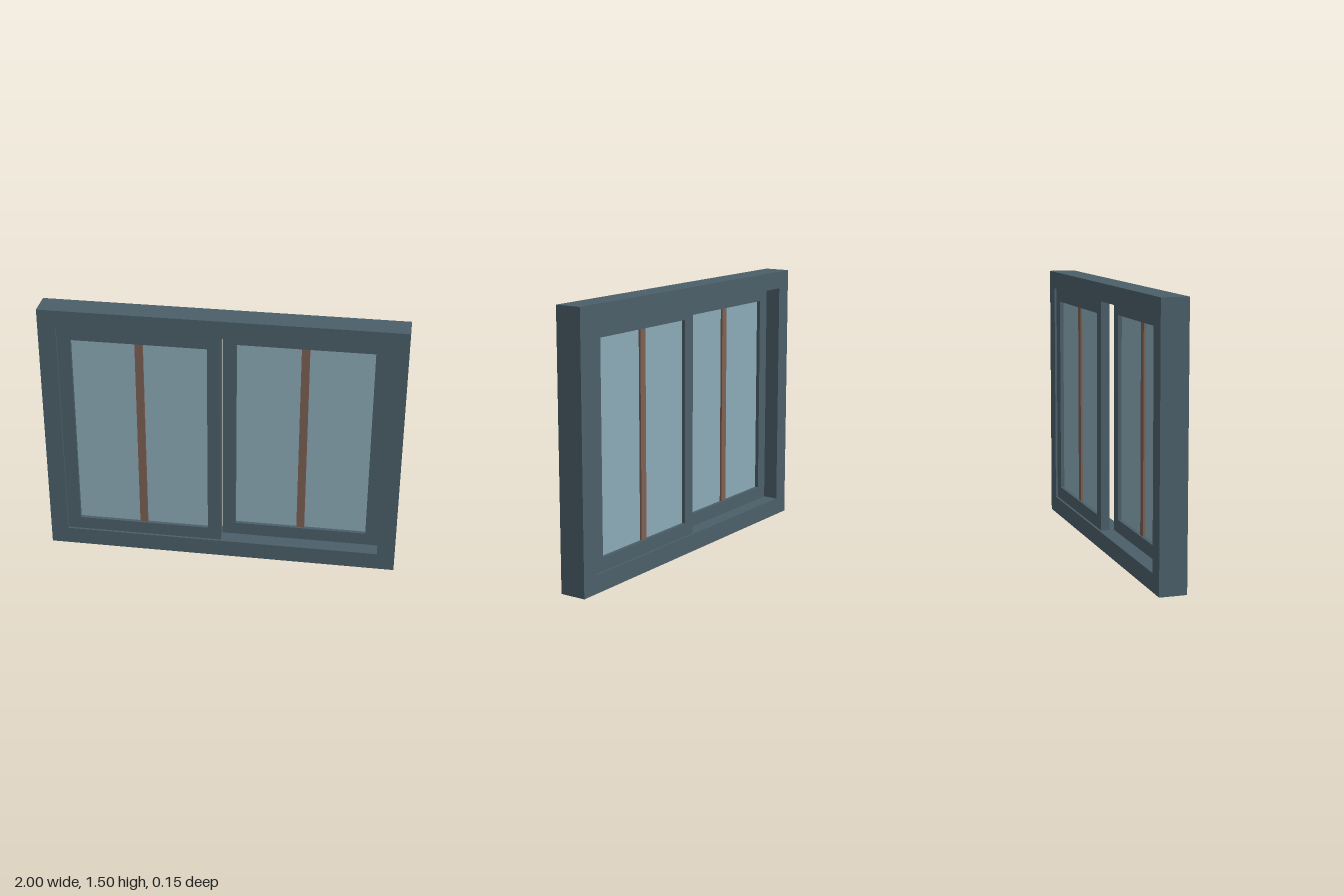
import * as THREE from 'three';

const frameMat = new THREE.MeshStandardMaterial({ color: 0x4b5f69 });
frameMat.name = 'slate frame';
const glassMat = new THREE.MeshStandardMaterial({ color: 0x8cabb8 });
glassMat.name = 'pale blue glass';
const barMat = new THREE.MeshStandardMaterial({ color: 0x7d6053 });
barMat.name = 'brown bar';

// Rectangular ring centred on the origin, with separate border widths
function ring(name, w, h, border, depth) {
  const rect = (target, x, y) => {
    target.moveTo(-x, -y);
    target.lineTo(x, -y);
    target.lineTo(x, y);
    target.lineTo(-x, y);
    target.closePath();
    return target;
  };
  const shape = rect(new THREE.Shape(), w / 2, h / 2);
  shape.holes.push(rect(new THREE.Path(), w / 2 - border, h / 2 - border));
  const geo = new THREE.ExtrudeGeometry(shape, { depth, bevelEnabled: false });
  geo.translate(0, 0, -depth / 2);
  const mesh = new THREE.Mesh(geo, frameMat);
  mesh.name = name;
  return mesh;
}

function box(name, w, h, d, material) {
  const mesh = new THREE.Mesh(new THREE.BoxGeometry(w, h, d), material);
  mesh.name = name;
  return mesh;
}

// Sliding sash: border, pane and one vertical glazing bar
function makeSash(name) {
  const w = 0.9, h = 1.3, border = 0.075;
  const paneW = w - 2 * border, paneH = h - 2 * border;
  const sash = new THREE.Group();
  sash.name = name;
  sash.add(
    ring('sashFrame', w, h, border, 0.05),
    box('glassPane', paneW, paneH, 0.008, glassMat),
    box('glazingBar', 0.045, paneH, 0.03, barMat)
  );
  return sash;
}

export function createModel() {
  const model = new THREE.Group();
  model.name = 'slidingWindow';

  // Outer frame
  const outer = ring('outerFrame', 2, 1.5, 0.1, 0.15);
  outer.position.y = 0.75;
  model.add(outer);

  // Two sashes on separate tracks: the one at -x runs in front
  for (const side of [-1, 1]) {
    const sash = makeSash(side < 0 ? 'frontSash' : 'rearSash');
    sash.position.set(side * 0.45, 0.75, -side * 0.0375);
    model.add(sash);
  }
  return model;
}
